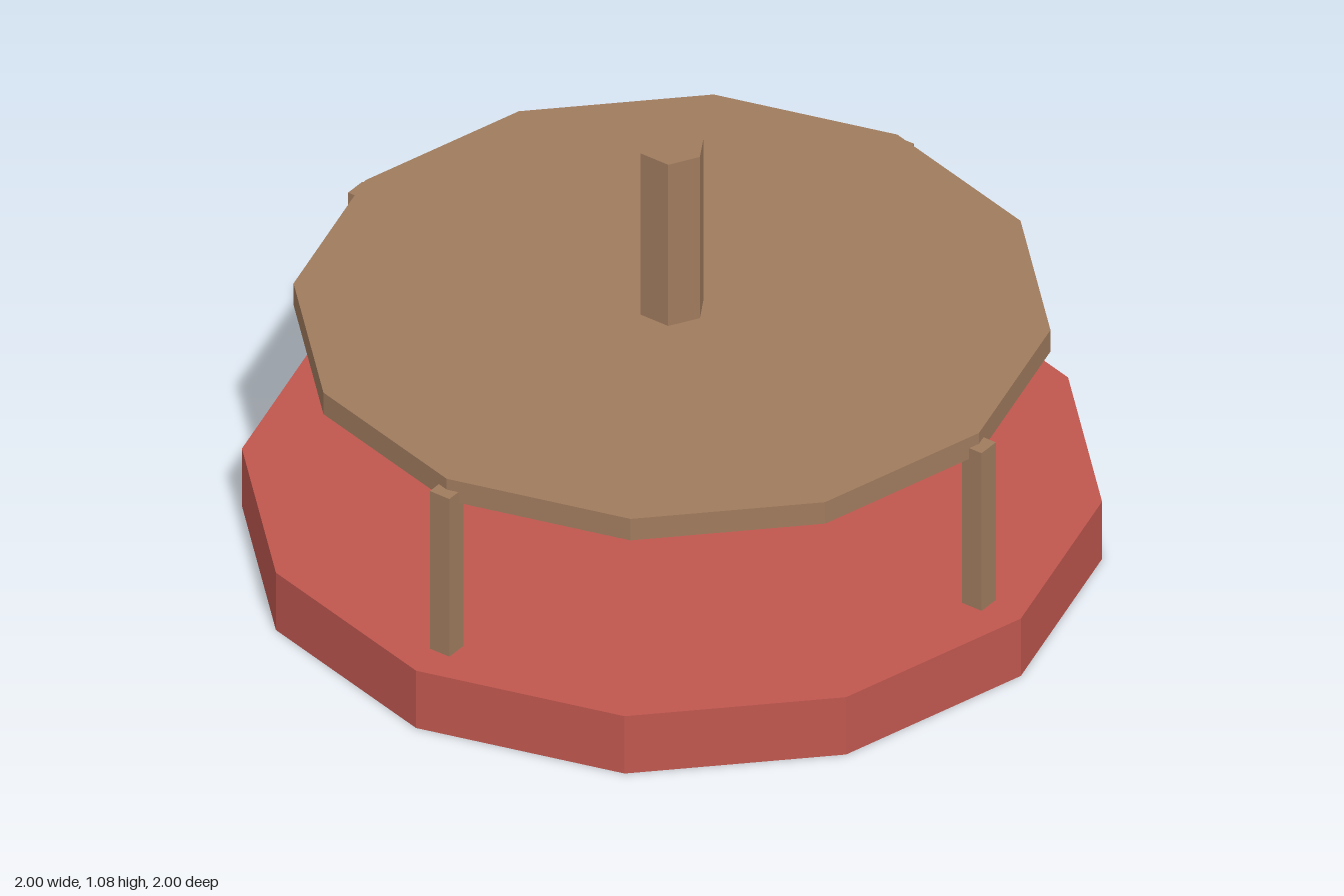
import * as THREE from 'three';

export function createModel() {
  const group = new THREE.Group();
  const red = new THREE.MeshStandardMaterial({ name: 'red paint', color: 0xc0574f, flatShading: true });
  const wood = new THREE.MeshStandardMaterial({ name: 'brown wood', color: 0xa07b5e, flatShading: true });

  // Adds a mesh that spans the heights bottom to top
  function add(name, geometry, material, bottom, top, x = 0, z = 0) {
    const mesh = new THREE.Mesh(geometry, material);
    mesh.name = name;
    mesh.position.set(x, (bottom + top) / 2, z);
    group.add(mesh);
  }
  function prism(name, radius, sides, material, bottom, top) {
    add(name, new THREE.CylinderGeometry(radius, radius, top - bottom, sides), material, bottom, top);
  }

  // Twelve-sided base and table, hexagonal centre pole
  prism('base', 1, 12, red, 0, 0.16);
  prism('tableTop', 0.88, 12, wood, 0.57, 0.63);
  prism('centrePole', 0.08, 6, wood, 0.16, 1.08);

  // Four square posts around the rim
  const postGeometry = new THREE.BoxGeometry(0.056, 0.44, 0.056);
  const posts = [['leftPost', 1, 0], ['rightPost', -1, 0], ['frontPost', 0, 1], ['backPost', 0, -1]];
  for (const [name, x, z] of posts) {
    add(name, postGeometry, wood, 0.16, 0.6, x * 0.88, z * 0.88);
  }

  return group;
}
